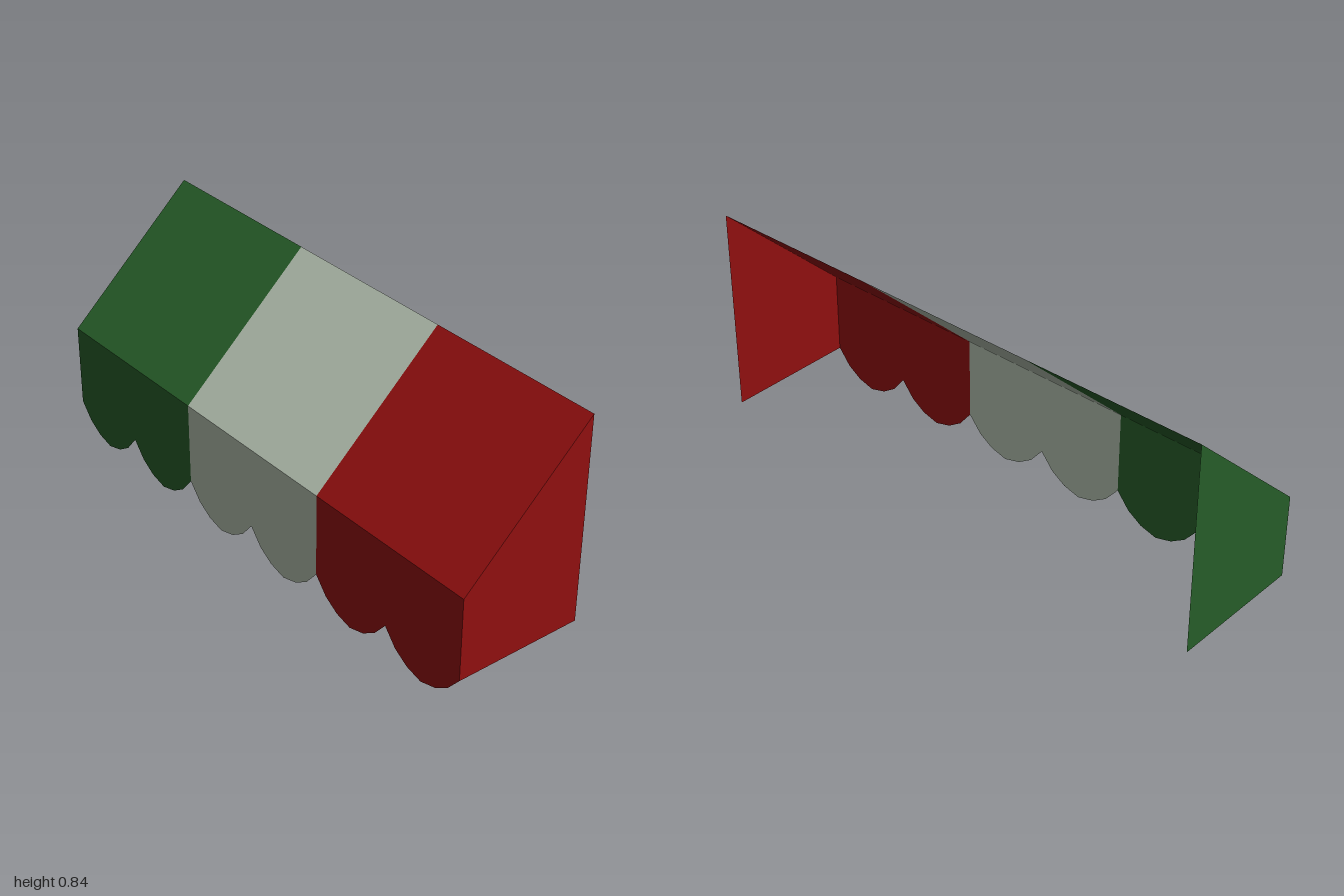
import * as THREE from 'three';

const FRONT = 0.24, BACK = -0.24;
const EAVE = 0.41, RIDGE = 0.843, HEM = 0.11, REAR_HEM = 0.097;

function cloth(name, color) {
  const m = new THREE.MeshStandardMaterial({ color, side: THREE.DoubleSide });
  m.name = name;
  return m;
}

// Front flap of one stripe, hanging from the eave with two scallops
function valanceShape(x0, x1) {
  const s = new THREE.Shape();
  s.moveTo(x1, EAVE);
  s.lineTo(x0, EAVE);
  s.lineTo(x0, HEM);
  const w = (x1 - x0) / 2;
  const scallop = [[0.145, 0.052], [0.31, 0.017], [0.5, 0], [0.69, 0.017], [0.855, 0.052], [1, HEM]];
  for (let i = 0; i < 2; i++) {
    for (const [t, y] of scallop) s.lineTo(x0 + (i + t) * w, y);
  }
  return s;
}

// End cheek; u runs along the depth, dir sets which way it points
function cheekShape(dir) {
  return new THREE.Shape([
    new THREE.Vector2(dir * FRONT, HEM),
    new THREE.Vector2(dir * FRONT, EAVE),
    new THREE.Vector2(dir * BACK, RIDGE),
    new THREE.Vector2(dir * BACK, REAR_HEM),
  ]);
}

export function createModel() {
  const group = new THREE.Group();
  group.name = 'awning';
  const add = (name, geometry, material) => {
    const mesh = new THREE.Mesh(geometry, material);
    mesh.name = name;
    group.add(mesh);
    return mesh;
  };

  const green = cloth('green cloth', 0x265c28);
  const white = cloth('pale cloth', 0xaebaaa);
  const red = cloth('red cloth', 0x8f0f0f);
  const stripes = [
    ['green', -1, -0.336, green],
    ['pale', -0.336, 0.336, white],
    ['red', 0.336, 1, red],
  ];

  // Sloping roof and scalloped valance, stripe by stripe
  const rise = RIDGE - EAVE, depth = FRONT - BACK;
  for (const [label, x0, x1, material] of stripes) {
    const roof = new THREE.PlaneGeometry(x1 - x0, Math.hypot(rise, depth));
    roof.rotateX(-Math.atan2(depth, rise));
    roof.translate((x0 + x1) / 2, (EAVE + RIDGE) / 2, 0);
    add(label + 'Roof', roof, material);

    const valance = new THREE.ShapeGeometry(valanceShape(x0, x1));
    valance.translate(0, 0, FRONT);
    add(label + 'Valance', valance, material);
  }

  // End cheeks
  for (const [name, side, material] of [['leftCheek', 1, red], ['rightCheek', -1, green]]) {
    const cheek = new THREE.ShapeGeometry(cheekShape(-side));
    cheek.rotateY(side * Math.PI / 2);
    cheek.translate(side, 0, 0);
    add(name, cheek, material);
  }
  return group;
}
